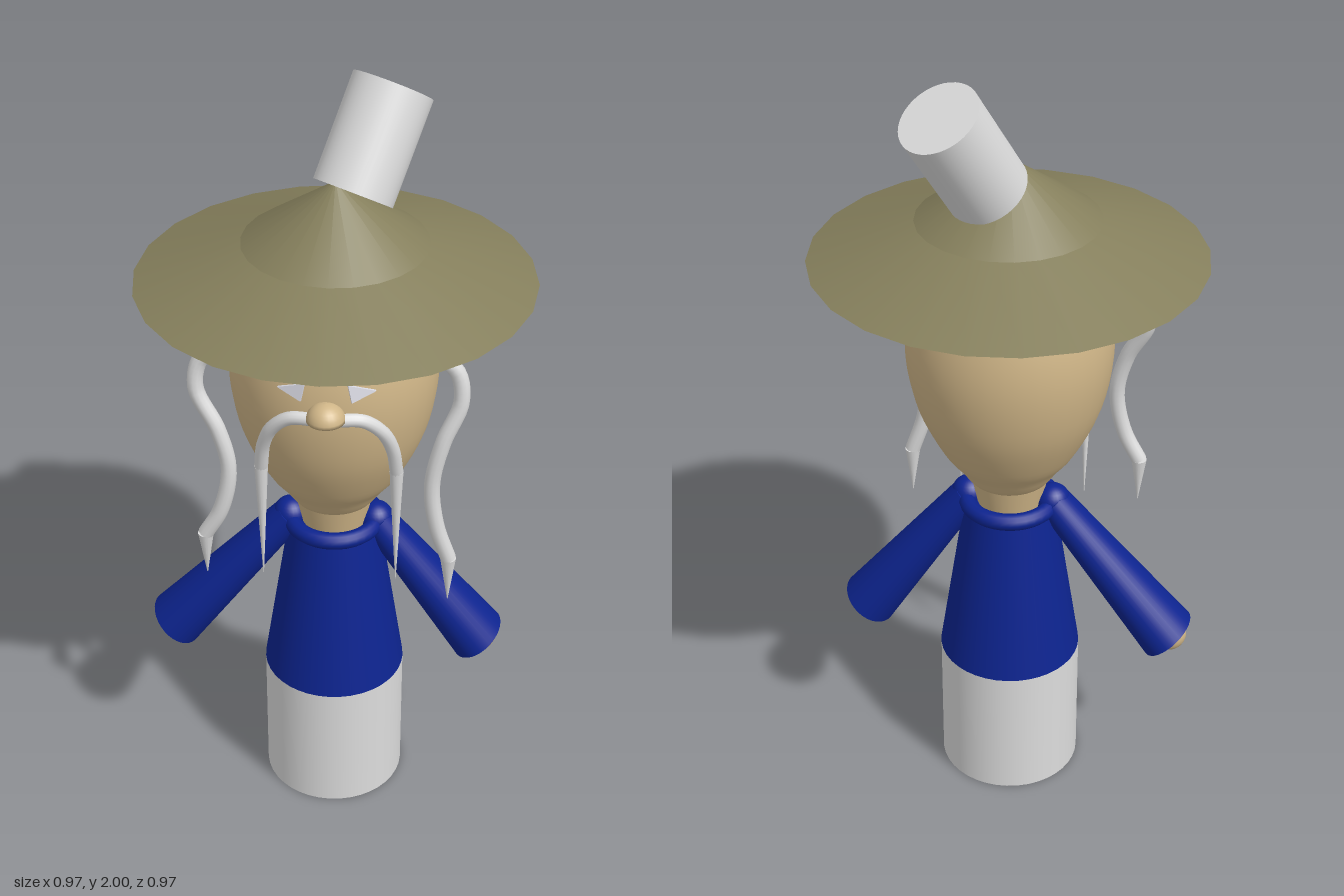
import * as THREE from 'three';

const mat = (name, color, side = THREE.FrontSide) => {
  const m = new THREE.MeshStandardMaterial({ color, side });
  m.name = name;
  return m;
};
const UP = new THREE.Vector3(0, 1, 0);
const vec = (p) => new THREE.Vector3(...p);
const lathe = (pts, sides) =>
  new THREE.LatheGeometry(pts.map(([r, y]) => new THREE.Vector2(r, y)), sides);

export function createModel() {
  const model = new THREE.Group();
  model.name = 'hattedFigure';
  const white = mat('white', 0xdcdcdc);
  const eyeWhite = mat('eyeWhite', 0xe4e4ee, THREE.DoubleSide);
  const skin = mat('skin', 0xd0b688);
  const robeBlue = mat('robeBlue', 0x0d2490);
  const straw = mat('straw', 0x857f5c);
  const cuffBlack = mat('cuffBlack', 0x0b0b0e);

  const add = (name, geometry, material, pos = [0, 0, 0], parent = model) => {
    const mesh = new THREE.Mesh(geometry, material);
    mesh.name = name;
    mesh.position.set(...pos);
    parent.add(mesh);
    return mesh;
  };
  // Tapered cylinder running from point a to point b
  const rod = (name, a, b, rA, rB, material, sides = 24, open = false) => {
    const va = vec(a), d = vec(b).sub(va);
    const mesh = add(name, new THREE.CylinderGeometry(rB, rA, d.length(), sides, 1, open), material);
    mesh.position.copy(va).addScaledVector(d, 0.5);
    mesh.quaternion.setFromUnitVectors(UP, d.normalize());
    return mesh;
  };

  // Body
  add('base', new THREE.CylinderGeometry(0.185, 0.185, 0.37, 40), white, [0, 0.185, 0]);
  add('robe', new THREE.CylinderGeometry(0.115, 0.185, 0.46, 40), robeBlue, [0, 0.6, 0]);
  const collar = add('collar', new THREE.TorusGeometry(0.11, 0.022, 12, 36), robeBlue, [0, 0.828, 0]);
  collar.rotation.x = Math.PI / 2;

  // Head: egg-shaped lathe from a smooth profile
  add('neck', new THREE.CylinderGeometry(0.1, 0.08, 0.1, 32), skin, [0, 0.86, 0]);
  const profile = new THREE.SplineCurve([
    [0, 0.875], [0.09, 0.895], [0.135, 0.95], [0.178, 1.01], [0.232, 1.13], [0.257, 1.27],
    [0.245, 1.4], [0.198, 1.53], [0.12, 1.6], [0, 1.63],
  ].map(([r, y]) => new THREE.Vector2(r, y)));
  const headPoints = profile.getPoints(36).map((p) => [Math.max(p.x, 0), p.y]);
  headPoints[0][0] = headPoints[headPoints.length - 1][0] = 0;
  add('head', lathe(headPoints, 40), skin);

  // Half-dome nose with a flat underside
  const nose = [[0, 0]];
  for (let i = 0; i <= 8; i++) {
    const a = (i / 8) * Math.PI / 2;
    nose.push([i === 8 ? 0 : 0.047 * Math.cos(a), 0.045 * Math.sin(a)]);
  }
  add('nose', lathe(nose, 24), skin, [0, 1.297, 0.262]);

  // Eyes: thin triangular plates wrapped against the face
  for (const s of [1, -1]) {
    const shape = new THREE.Shape();
    shape.moveTo(-0.032 * s, 0.023);
    shape.lineTo(0.036 * s, 0);
    shape.lineTo(-0.024 * s, -0.024);
    shape.closePath();
    const eye = add(s > 0 ? 'leftEye' : 'rightEye',
      new THREE.ExtrudeGeometry(shape, { depth: 0.008, bevelEnabled: false }), eyeWhite,
      [0.08 * s, 1.363, 0.237]);
    eye.rotation.set(-0.12, 0.33 * s, 0, 'YXZ');
  }

  // Strands of hair: a tube ending in a pointed cone
  const strand = (name, points, tip, radius) => {
    const curve = new THREE.CatmullRomCurve3(points.map(vec));
    add(name, new THREE.TubeGeometry(curve, 48, radius, 12), white);
    rod(name + 'Tip', points[points.length - 1], tip, radius, 0.001, white, 16);
  };
  strand('leftBrow', [
    [0.06, 1.42, 0.218], [0.14, 1.42, 0.198], [0.24, 1.415, 0.15], [0.3, 1.37, 0.14],
    [0.315, 1.29, 0.147], [0.275, 1.18, 0.163], [0.252, 1.06, 0.168], [0.265, 0.94, 0.17],
    [0.298, 0.835, 0.166],
  ], [0.3, 0.705, 0.165], 0.02);
  strand('rightBrow', [
    [-0.06, 1.42, 0.218], [-0.14, 1.42, 0.198], [-0.24, 1.415, 0.15], [-0.305, 1.38, 0.14],
    [-0.322, 1.3, 0.147], [-0.27, 1.19, 0.163], [-0.246, 1.08, 0.168], [-0.268, 0.96, 0.17],
    [-0.31, 0.88, 0.166],
  ], [-0.31, 0.757, 0.165], 0.02);
  for (const s of [1, -1]) {
    strand(s > 0 ? 'leftMoustache' : 'rightMoustache', [
      [0.02 * s, 1.295, 0.26], [0.085 * s, 1.287, 0.245], [0.13 * s, 1.245, 0.225],
      [0.155 * s, 1.18, 0.2], [0.165 * s, 1.1, 0.178],
    ], [0.167 * s, 0.762, 0.165], 0.017);
  }

  // Arms: shoulder ball, flared sleeve, dark cuff opening and hand
  const arm = (side, shoulder, wrist) => {
    add(side + 'Shoulder', new THREE.SphereGeometry(0.045, 24, 16), robeBlue, shoulder);
    const sleeve = rod(side + 'Sleeve', wrist, shoulder, 0.075, 0.042, robeBlue, 32);
    sleeve.scale.z = 1.18;
    const half = sleeve.geometry.parameters.height / 2;
    const cuff = add(side + 'CuffOpening', new THREE.CircleGeometry(0.068, 32), cuffBlack,
      [0, -half - 0.002, 0], sleeve);
    cuff.rotation.x = Math.PI / 2;
    add(side + 'Hand', new THREE.SphereGeometry(0.047, 24, 16), skin,
      [wrist[0] + Math.sign(wrist[0]) * 0.003, wrist[1] + 0.003, -0.007]);
  };
  arm('left', [0.108, 0.832, 0.003], [0.383, 0.453, -0.007]);
  arm('right', [-0.112, 0.836, 0.003], [-0.426, 0.458, -0.007]);

  // Wide hat with a shallow brim, steeper crown and closed underside
  const hat = [[[0, 1.53], [0.484, 1.53]], [[0.484, 1.53], [0.225, 1.628]], [[0.225, 1.628], [0, 1.785]]];
  ['hatUnderside', 'hatBrim', 'hatCrown'].forEach((name, i) =>
    add(name, lathe(hat[i], 24), straw, [0.003, 0, 0]));

  // Tilted cylinder on top of the hat
  rod('hatTopper', [0.04, 1.725, -0.057], [0.125, 1.947, -0.177], 0.1, 0.1, white, 40);

  return model;
}
